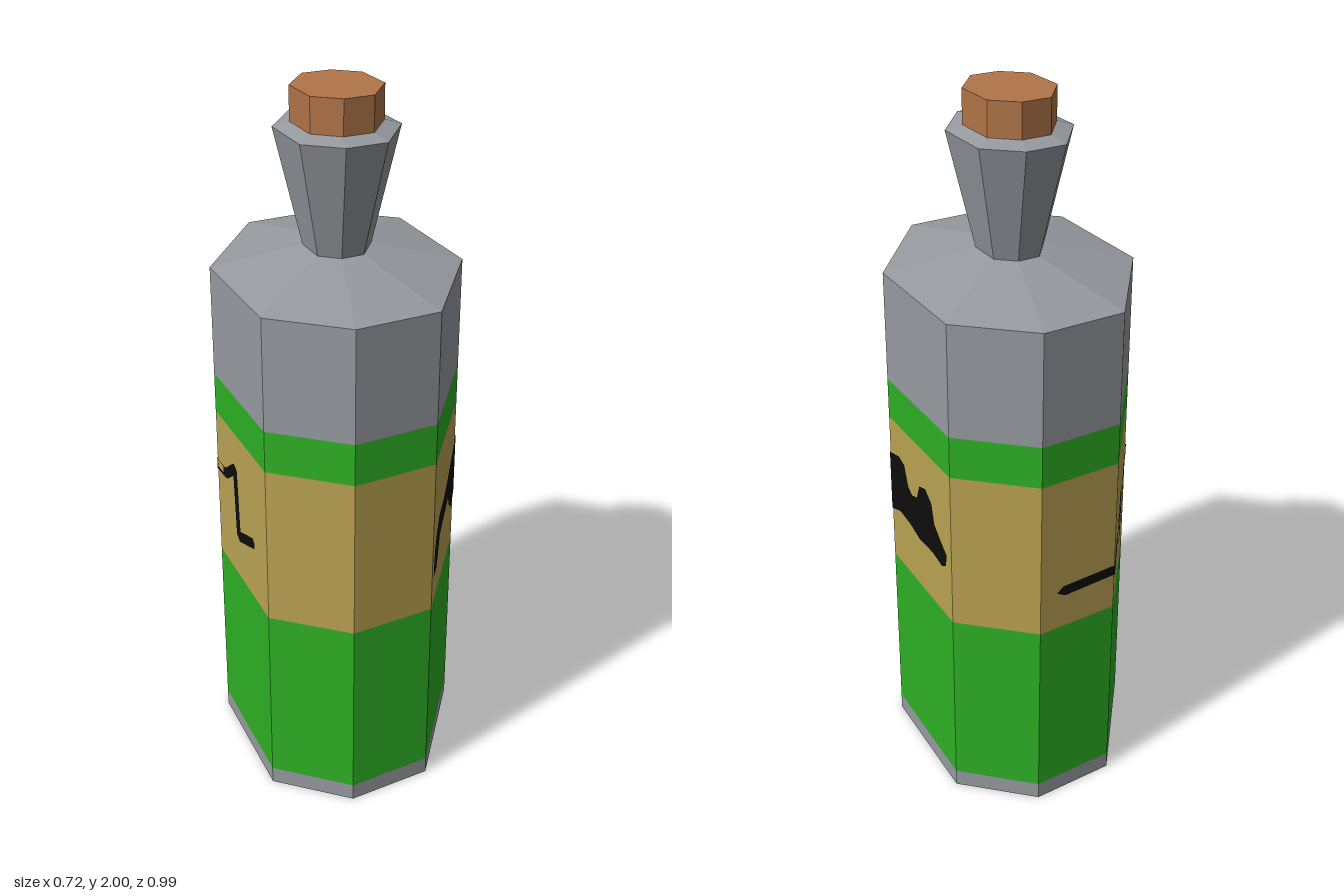
import * as THREE from 'three';

// Eight-sided footprint as [x, z], starting at the front tip and turning towards +x
const FOOT = [[0, 0.493], [0.232, 0.393], [0.356, 0], [0.232, -0.393],
  [0, -0.493], [-0.232, -0.393], [-0.356, 0], [-0.232, 0.393]];

const makeMaterial = (name, color) => {
  const m = new THREE.MeshStandardMaterial({ color, flatShading: true, side: THREE.DoubleSide });
  m.name = name;
  return m;
};

// Stack of scaled footprints, rings = [[scale, y], ...], with optional end caps
function tier(rings, capBottom = false, capTop = false) {
  const pos = [];
  const at = ([s, y], i) => [FOOT[i % 8][0] * s, y, FOOT[i % 8][1] * s];
  for (let r = 0; r + 1 < rings.length; r++) {
    for (let i = 0; i < 8; i++) {
      const a = at(rings[r], i), b = at(rings[r], i + 1);
      const c = at(rings[r + 1], i + 1), d = at(rings[r + 1], i);
      pos.push(...a, ...b, ...c, ...a, ...c, ...d);
    }
  }
  const top = rings[rings.length - 1];
  for (let i = 1; i < 7; i++) {
    if (capBottom) pos.push(...at(rings[0], 0), ...at(rings[0], i + 1), ...at(rings[0], i));
    if (capTop) pos.push(...at(top, 0), ...at(top, i), ...at(top, i + 1));
  }
  const g = new THREE.BufferGeometry();
  g.setAttribute('position', new THREE.Float32BufferAttribute(pos, 3));
  g.computeVertexNormals();
  return g;
}

// Half width of the footprint at a given z
function wallX(z) {
  const d = Math.abs(z);
  return d < 0.393 ? 0.356 - d * 0.124 / 0.393 : 0.232 * (0.493 - d) / 0.1;
}

// Lay flat [z, y] outlines on the wall of one side, just clear of the surface
function decal(outlines, side) {
  const shapes = outlines.map((o) =>
    new THREE.Shape(o.map(([z, y]) => new THREE.Vector2(-side * z, y))));
  const g = new THREE.ShapeGeometry(shapes);
  const p = g.attributes.position;
  for (let i = 0; i < p.count; i++) {
    const z = -side * p.getX(i);
    p.setXYZ(i, side * wallX(z) * 1.006, p.getY(i), z * 1.006);
  }
  g.computeVertexNormals();
  return g;
}

// Brush line as one pointed hexagon per segment
function stroke(points, w) {
  return points.slice(1).map(([z1, y1], i) => {
    const [z0, y0] = points[i];
    const len = Math.hypot(z1 - z0, y1 - y0);
    const dz = (z1 - z0) / len * w, dy = (y1 - y0) / len * w;
    return [[z0 - dz * 0.6, y0 - dy * 0.6], [z0 + dy, y0 - dz], [z1 + dy, y1 - dz],
      [z1 + dz * 0.6, y1 + dy * 0.6], [z1 - dy, y1 + dz], [z0 - dy, y0 + dz]];
  });
}

export function createModel() {
  const group = new THREE.Group();
  const glass = makeMaterial('grey glass', 0x969a9f);
  const green = makeMaterial('green label', 0x2eb024);
  const tan = makeMaterial('tan label', 0xbaa253);
  const cork = makeMaterial('cork', 0xb07547);
  const ink = makeMaterial('black ink', 0x0d0d0d);

  const add = (name, geometry, material) => {
    const mesh = new THREE.Mesh(geometry, material);
    mesh.name = name;
    group.add(mesh);
  };

  // Bottle body, in bands from the bottom up
  add('base', tier([[1, 0], [1, 0.05]], true), glass);
  add('lowerGreenBand', tier([[1, 0.05], [1, 0.59]]), green);
  add('tanBand', tier([[1, 0.59], [1, 1.057]]), tan);
  add('upperGreenBand', tier([[1, 1.057], [1, 1.178]]), green);
  add('upperBody', tier([[1, 1.178], [1, 1.5]]), glass);

  // Shoulder, flared neck with its lip, and stopper
  add('shoulder', tier([[1, 1.5], [0.272, 1.56]]), glass);
  add('neck', tier([[0.272, 1.56], [0.493, 1.89], [0.361, 1.903]]), glass);
  add('stopper', tier([[0.361, 1.903], [0.361, 2]], false, true), cork);

  // Broad ink blot on the left side, split at the wall's edge
  const blotFront = [[0, 0.941], [0.085, 0.904], [0.148, 0.872], [0.217, 0.85], [0.297, 0.845],
    [0.339, 0.813], [0.366, 0.771], [0.376, 0.713], [0.366, 0.686], [0.329, 0.686],
    [0.302, 0.723], [0.28, 0.766], [0.217, 0.782], [0.122, 0.797], [0.09, 0.75],
    [0.048, 0.729], [0, 0.75]];
  const blotBack = [[0, 0.941], [-0.064, 0.957], [-0.1, 0.946], [-0.122, 0.888], [-0.148, 0.872],
    [-0.18, 0.882], [-0.2, 0.93], [-0.238, 0.941], [-0.276, 0.914], [-0.291, 0.856],
    [-0.329, 0.824], [-0.366, 0.797], [-0.36, 0.76], [-0.334, 0.745], [-0.276, 0.755],
    [-0.19, 0.75], [-0.127, 0.766], [-0.058, 0.771], [0, 0.75]];
  add('leftInkBlot', decal([blotFront, blotBack], 1), ink);

  // Thin zigzag brush line on the right side, starting on the back
  const zigzag = [[-0.462, 0.709], [-0.393, 0.715], [-0.32, 0.77], [-0.25, 0.84], [-0.218, 0.875],
    [-0.216, 0.705], [-0.146, 0.822], [-0.1, 0.882], [0, 0.885], [0.078, 0.89],
    [0.155, 0.945], [0.17, 0.73], [0.29, 0.775]];
  add('rightInkLine', decal(stroke(zigzag, 0.016), -1), ink);

  return group;
}
